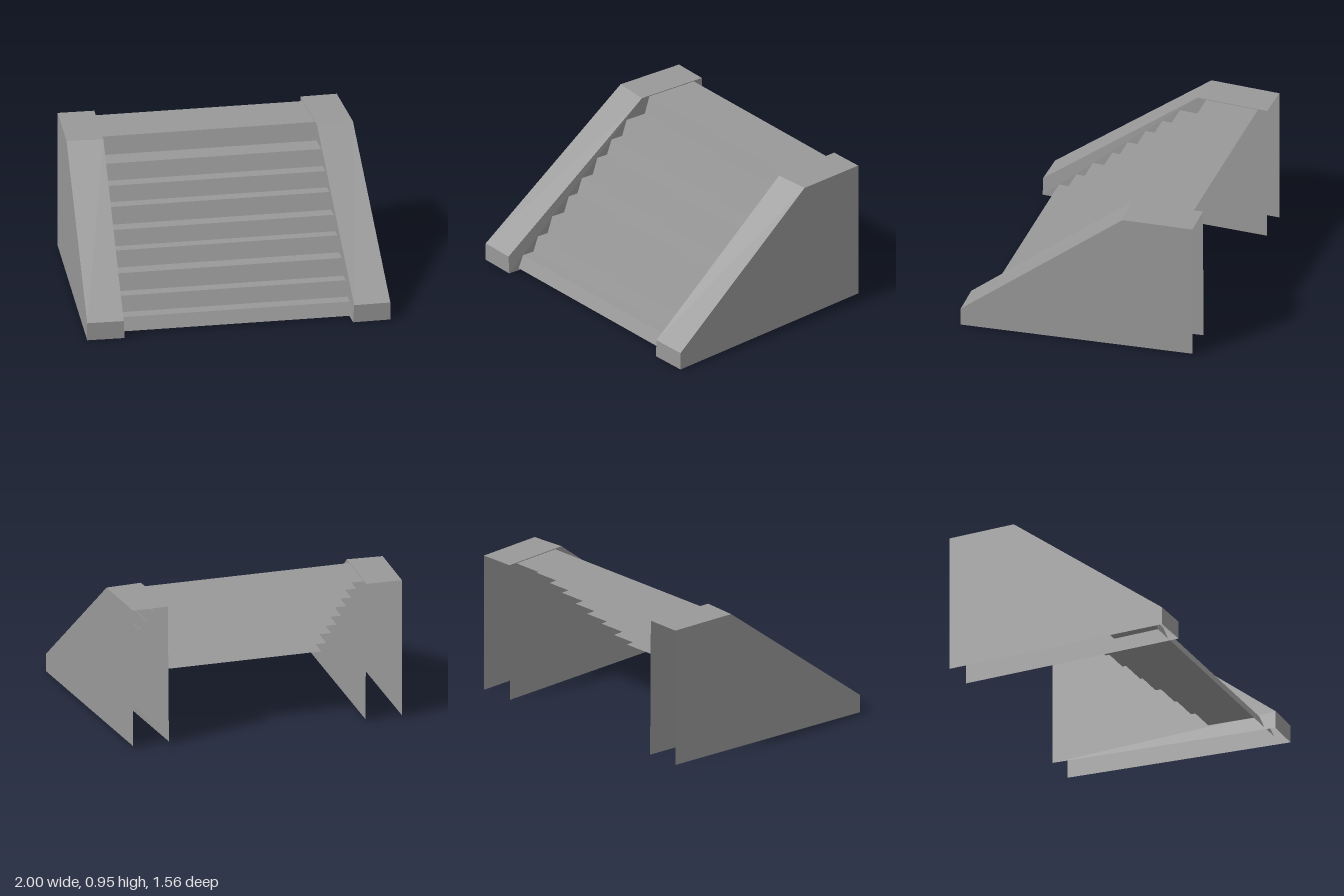
import * as THREE from 'three';

const material = new THREE.MeshStandardMaterial({
  color: 0x999999, flatShading: true, side: THREE.DoubleSide,
});

// Builds a faceted surface from convex polygons, each a loop of [x, y, z] corners.
function surface(name, polygons) {
  const positions = [];
  for (const p of polygons) {
    for (let i = 1; i < p.length - 1; i++) positions.push(...p[0], ...p[i], ...p[i + 1]);
  }
  const geometry = new THREE.BufferGeometry();
  geometry.setAttribute('position', new THREE.Float32BufferAttribute(positions, 3));
  geometry.computeVertexNormals();
  const mesh = new THREE.Mesh(geometry, material);
  mesh.name = name;
  return mesh;
}

// Both walls draw together slightly towards the back.
const outerX = (z) => 1 - 0.051 * (0.775 - z);
const innerX = (z) => 0.76 - 0.052 * (0.775 - z);

// Hollow sloping side wall, open underneath and at the back.
function sideWall(name, side) {
  const loop = (xAt, front, top, back, lean) => [
    [front, 0], [back, 0.015], [back, 0.95], [top, 0.95], [front, 0.12],
  ].map(([z, y], i) => [side * (xAt(z) - (i < 2 ? lean : 0)), y, z]);
  const outer = loop(outerX, 0.776, -0.31, -0.78, 0);
  const inner = loop(innerX, 0.781, -0.293, -0.775, 0.007);
  const faces = [outer, [...inner].reverse()];
  for (const [a, b] of [[2, 3], [3, 4], [4, 0]]) {
    faces.push([outer[a], inner[a], inner[b], outer[b]]);
  }
  if (side < 0) faces.forEach((face) => face.reverse());
  return surface(name, faces);
}

// One step: a leaning riser and a deep tread that runs back under the steps above.
function step(index, foot, bottom, top) {
  const nose = foot - 0.037;
  const back = nose - 0.358;
  // the lowest step runs on into the hollow walls
  const halfWidth = (z) => (index === 0 ? 0.9 : innerX(z) + 0.004);
  const strip = (za, ya, zb, yb) => [
    [-halfWidth(za), ya, za], [halfWidth(za), ya, za],
    [halfWidth(zb), yb, zb], [-halfWidth(zb), yb, zb],
  ];
  return surface(`step${index + 1}`, [
    strip(foot, bottom, nose, top),
    strip(nose, top, back, top),
  ]);
}

function stairs() {
  const feet = [0.705, 0.585, 0.47, 0.337, 0.23, 0.105, -0.01, -0.132, -0.315];
  const heights = [0.015, 0.1, 0.2, 0.31, 0.415, 0.515, 0.625, 0.725, 0.83, 0.945];
  const group = new THREE.Group();
  group.name = 'stairs';
  feet.forEach((z, i) => group.add(step(i, z, heights[i], heights[i + 1])));
  return group;
}

export function createModel() {
  const model = new THREE.Group();
  model.name = 'staircase';
  model.add(sideWall('leftWall', 1), sideWall('rightWall', -1), stairs());
  return model;
}
